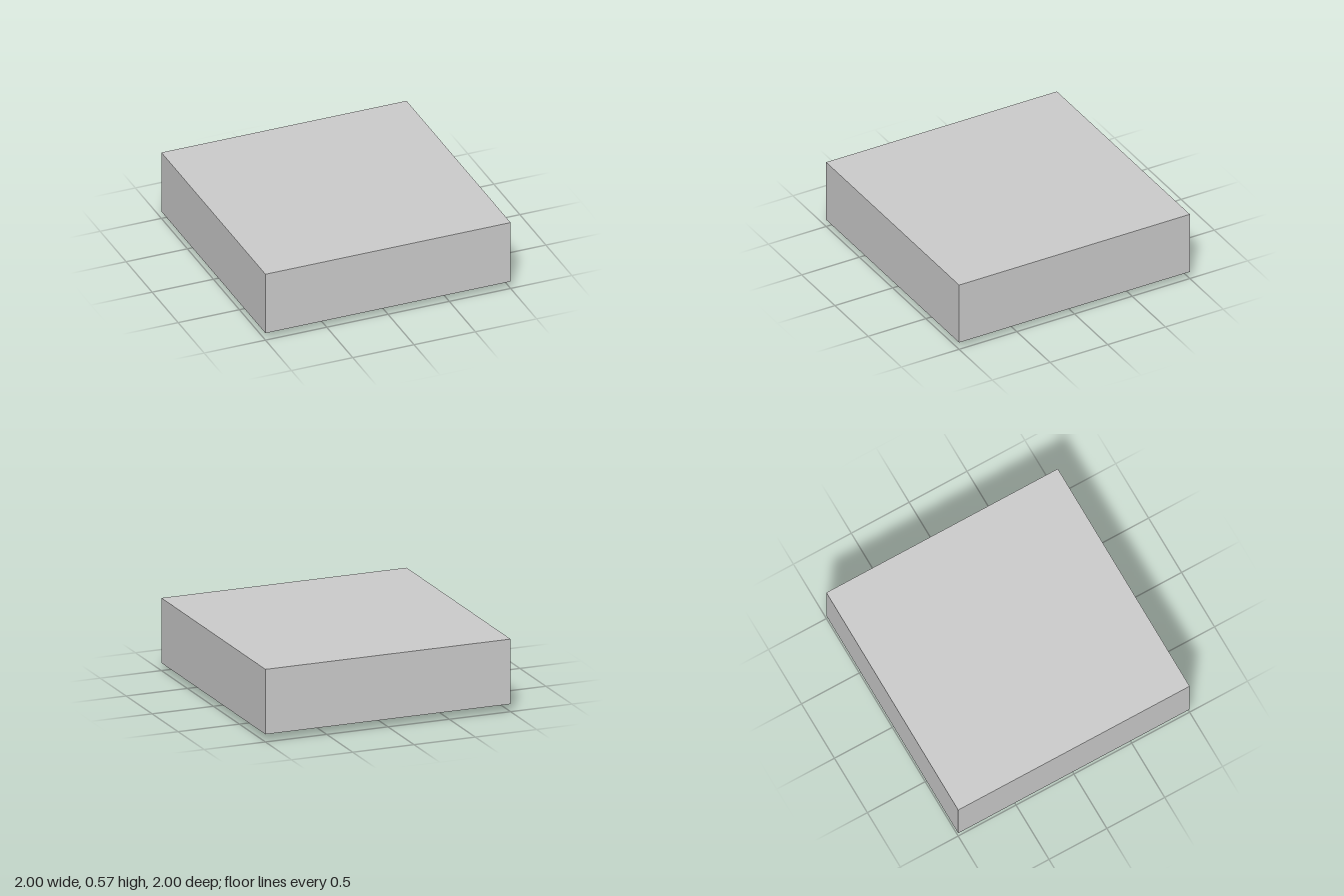
import * as THREE from 'three';
import { toCreasedNormals } from 'three/addons/utils/BufferGeometryUtils.js';

const FOOT = 0.06; // height of the relief under the slab
const TOP = 0.57;

export function createModel() {
  const model = new THREE.Group();
  const grey = new THREE.MeshStandardMaterial({ color: 0xcccccc });
  grey.name = 'light grey';

  const add = (name, geometry) => {
    const mesh = new THREE.Mesh(geometry, grey);
    mesh.name = name;
    model.add(mesh);
    return mesh;
  };

  // Extrudes an outline drawn in (x, z) downwards from the slab to the ground
  const relief = (shape) => {
    const g = new THREE.ExtrudeGeometry(shape, { depth: FOOT, bevelEnabled: false, curveSegments: 48 });
    g.rotateX(Math.PI / 2).translate(0, FOOT, 0);
    return toCreasedNormals(g, 0.6);
  };

  // Main block
  add('slab', new THREE.BoxGeometry(2, TOP - FOOT, 2)).position.y = (TOP + FOOT) / 2;

  // Slightly oval raised ring underneath
  const ring = new THREE.Shape().absellipse(0, 0, 0.805, 0.78, 0, Math.PI * 2);
  ring.holes.push(new THREE.Path().absellipse(0, 0, 0.67, 0.645, 0, Math.PI * 2, true));
  add('baseRing', relief(ring));

  // Two raised bars meeting at a right angle inside the ring
  const hands = [[-0.065, -0.09], [0.42, -0.09], [0.42, -0.005], [0.06, 0.01], [0.035, 0.385], [-0.065, 0.385]];
  add('cornerRelief', relief(new THREE.Shape(hands.map(([x, z]) => new THREE.Vector2(x, z)))));

  return model;
}
